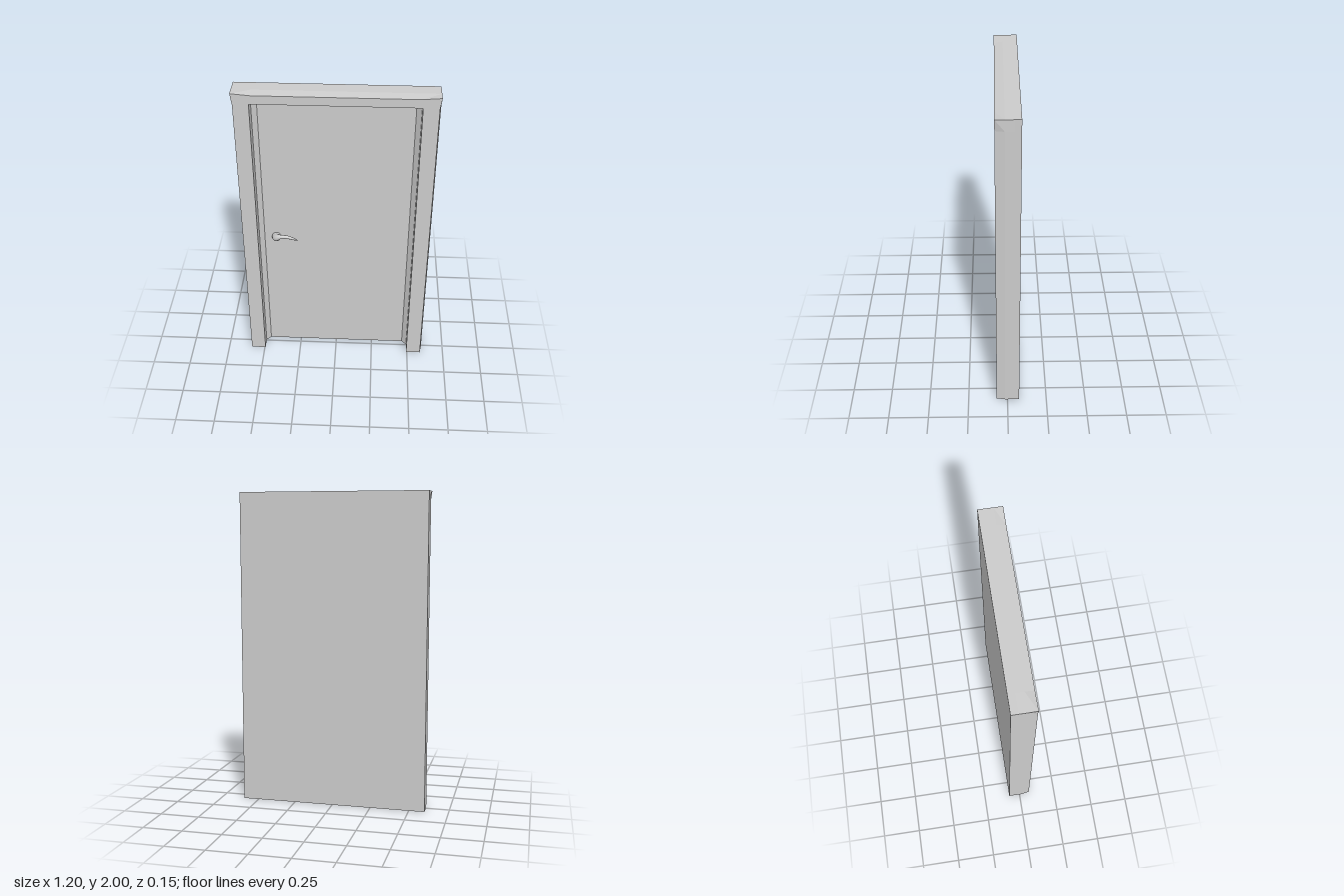
import * as THREE from 'three';

const material = new THREE.MeshStandardMaterial({ color: 0xcccccc });
const flat = new THREE.MeshStandardMaterial({ color: 0xcccccc, flatShading: true });

function add(group, name, geometry, mat) {
  const mesh = new THREE.Mesh(geometry, mat);
  mesh.name = name;
  group.add(mesh);
  return mesh;
}

// Sections along the U of the frame; each runs from outer back to inner back as [x, y, z].
function frameSection(ox, oy, fx, fy, iy) {
  return [
    [ox, oy, -0.035],
    [ox, oy, 0.015],
    [fx, fy, 0.07],
    [0.495, iy && 1.935, 0.07],
    [0.495, iy && 1.935, -0.005],
    [0.465, iy && 1.905, -0.035],
  ];
}

function frameGeometry() {
  const half = [
    frameSection(0.6, 0, 0.59, 0, 0),
    frameSection(0.6, 1.93, 0.59, 1.93, 1),
    frameSection(0.6, 2, 0.6, 2, 1),
    frameSection(0.485, 2, 0.485, 1.99, 1),
  ];
  const mirrored = half.map((s) => s.map(([x, y, z]) => [-x, y, z])).reverse();
  const sections = [...half, ...mirrored];
  const pos = [];
  for (let i = 0; i < sections.length - 1; i++) {
    const a = sections[i], b = sections[i + 1];
    for (let j = 0; j < a.length - 1; j++) {
      pos.push(...a[j], ...b[j], ...b[j + 1], ...a[j], ...b[j + 1], ...a[j + 1]);
    }
  }
  const g = new THREE.BufferGeometry();
  g.setAttribute('position', new THREE.Float32BufferAttribute(pos, 3));
  g.computeVertexNormals();
  return g;
}

// Tube whose radius follows a list of values along its length
function taperedTube(points, radii, segments, sides) {
  const curve = new THREE.CatmullRomCurve3(points.map((p) => new THREE.Vector3(...p)));
  const g = new THREE.TubeGeometry(curve, segments, 1, sides);
  const pos = g.attributes.position;
  const v = new THREE.Vector3();
  for (let i = 0; i <= segments; i++) {
    const c = curve.getPointAt(i / segments);
    const t = (i / segments) * (radii.length - 1);
    const k = Math.min(Math.floor(t), radii.length - 2);
    const r = THREE.MathUtils.lerp(radii[k], radii[k + 1], t - k);
    for (let j = 0; j <= sides; j++) {
      const n = i * (sides + 1) + j;
      v.fromBufferAttribute(pos, n).sub(c).multiplyScalar(r).add(c);
      pos.setXYZ(n, v.x, v.y, v.z);
    }
  }
  g.computeVertexNormals();
  return g;
}

export function createModel() {
  const door = new THREE.Group();
  door.name = 'door';

  // Door leaf with the plain back
  add(door, 'doorPanel', new THREE.BoxGeometry(1.2, 2, 0.04), flat).position.set(0, 1, -0.055);

  // Surround with sloped edges and flared top corners
  add(door, 'frame', frameGeometry(), flat);

  // Undersides of the two jambs
  for (const side of [1, -1]) {
    const outline = frameSection(0.6, 0, 0.59, 0, 0).map(([x, , z]) => new THREE.Vector2(side * x, z));
    const foot = new THREE.ShapeGeometry(new THREE.Shape(outline));
    foot.rotateX(Math.PI / 2);
    add(door, side > 0 ? 'leftJambFoot' : 'rightJambFoot', foot, flat);
  }

  // Handle: rounded base and a curved, tapering lever
  const handle = new THREE.Group();
  handle.name = 'handle';
  const base = add(handle, 'handleBase', new THREE.SphereGeometry(0.03, 20, 14), material);
  base.position.set(-0.388, 0.914, -0.03);
  base.scale.set(1, 1, 0.8);
  add(handle, 'handleLever', taperedTube(
    [
      [-0.39, 0.912, -0.03],
      [-0.386, 0.928, 0],
      [-0.362, 0.945, 0.015],
      [-0.318, 0.947, 0.017],
      [-0.28, 0.933, 0.013],
      [-0.245, 0.917, 0.008],
    ],
    [0.027, 0.025, 0.02, 0.014, 0.012, 0.011, 0.009, 0.007, 0],
    40, 12), material);
  door.add(handle);

  return door;
}
